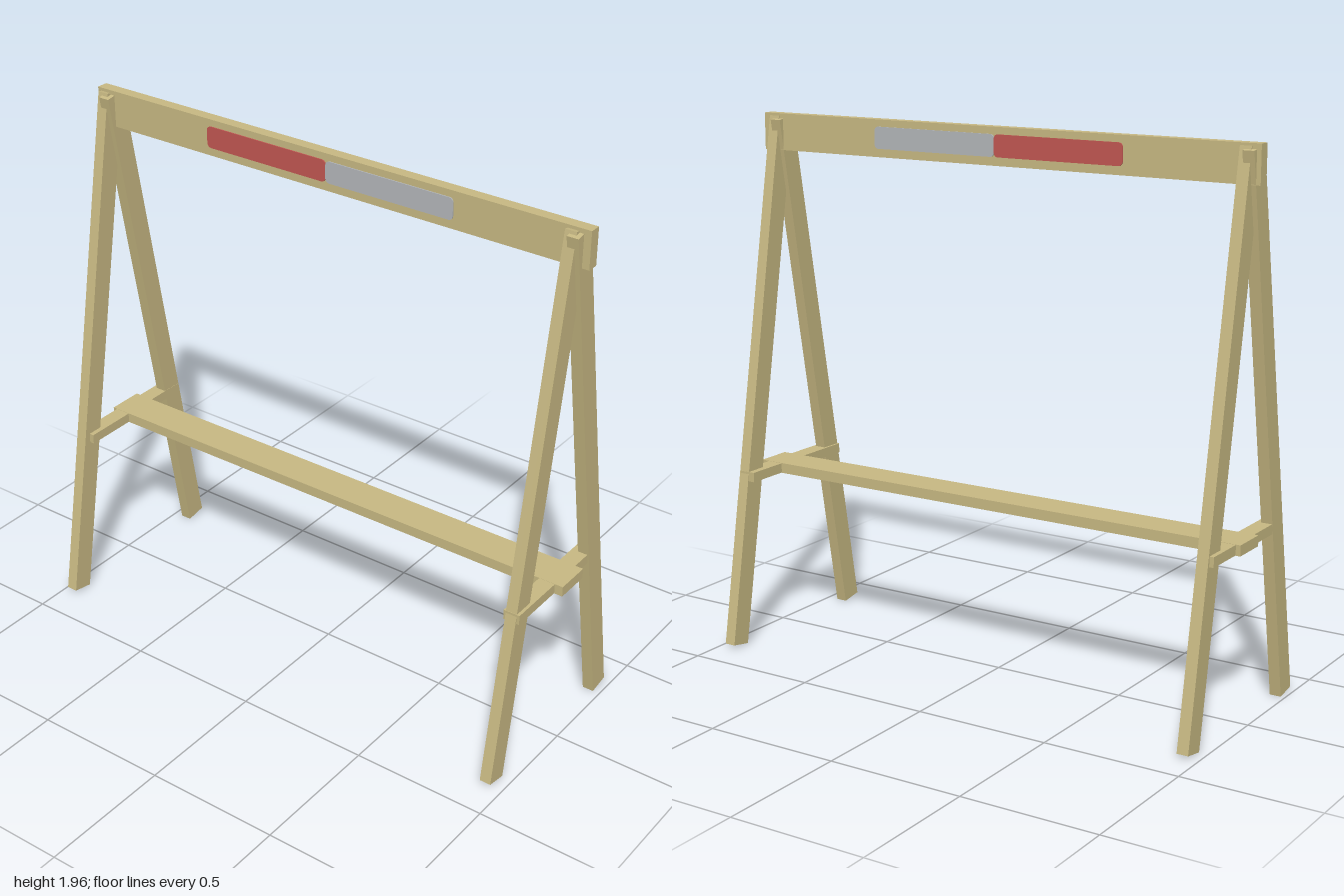
import * as THREE from 'three';

export function createModel() {
  const group = new THREE.Group();
  group.name = 'trestleBarrier';

  const material = (name, color) => {
    const m = new THREE.MeshStandardMaterial({ color });
    m.name = name;
    return m;
  };
  const wood = material('pale wood', 0xc8b983);
  const red = material('reflector red', 0xc25752);
  const grey = material('reflector grey', 0xb4b7ba);

  const add = (name, geometry, mat, parent = group) => {
    const mesh = new THREE.Mesh(geometry, mat);
    mesh.name = name;
    parent.add(mesh);
    return mesh;
  };

  // Box given by its limits on each axis
  const plank = (name, [x0, x1], [y0, y1], [z0, z1], parent) => {
    const mesh = add(name, new THREE.BoxGeometry(x1 - x0, y1 - y0, z1 - z0), wood, parent);
    mesh.position.set((x0 + x1) / 2, (y0 + y1) / 2, (z0 + z1) / 2);
    return mesh;
  };

  // Leaning leg: side is 1 for the front foot, -1 for the back foot
  const leg = (name, x, side, parent) => {
    const mesh = add(name, new THREE.BoxGeometry(0.042, 1.967, 0.079), wood, parent);
    mesh.position.set(x, 0.976, side * 0.1625);
    mesh.rotation.x = -side * THREE.MathUtils.degToRad(10);
  };

  // Horizontal boards
  const beamZ = [-0.028, 0.014];
  plank('topBeam', [-1, 1], [1.827, 1.96], beamZ);
  plank('lowerBeam', [-1, 1], [0.622, 0.66], [-0.097, 0.037]);

  // End frames: two crossing legs and a spreader bar
  const frames = [
    { name: 'leftFrame', front: 0.937, back: 0.953, bar: [0.908, 0.969], reach: [-0.26, 0.26] },
    { name: 'rightFrame', front: -0.963, back: -0.946, bar: [-0.983, -0.924], reach: [-0.255, 0.237] },
  ];
  for (const f of frames) {
    const frame = new THREE.Group();
    frame.name = f.name;
    group.add(frame);
    leg('frontLeg', f.front, 1, frame);
    leg('backLeg', f.back, -1, frame);
    plank('spreaderBar', f.bar, [0.623, 0.659], f.reach, frame);
  }

  // Reflector plates with rounded corners, on both faces of the beam
  const w = 0.502, h = 0.078, r = 0.016, thick = 0.004;
  const shape = new THREE.Shape();
  shape.moveTo(r, 0);
  shape.lineTo(w - r, 0);
  shape.absarc(w - r, r, r, -Math.PI / 2, 0);
  shape.absarc(w - r, h - r, r, 0, Math.PI / 2);
  shape.absarc(r, h - r, r, Math.PI / 2, Math.PI);
  shape.absarc(r, r, r, Math.PI, Math.PI * 1.5);
  const plate = new THREE.ExtrudeGeometry(shape, { depth: thick, bevelEnabled: false, curveSegments: 5 });
  for (const [face, z] of [['Front', beamZ[1]], ['Back', beamZ[0] - thick]]) {
    add('redReflector' + face, plate, red).position.set(-w, 1.857, z);
    add('greyReflector' + face, plate, grey).position.set(0, 1.857, z);
  }

  return group;
}
